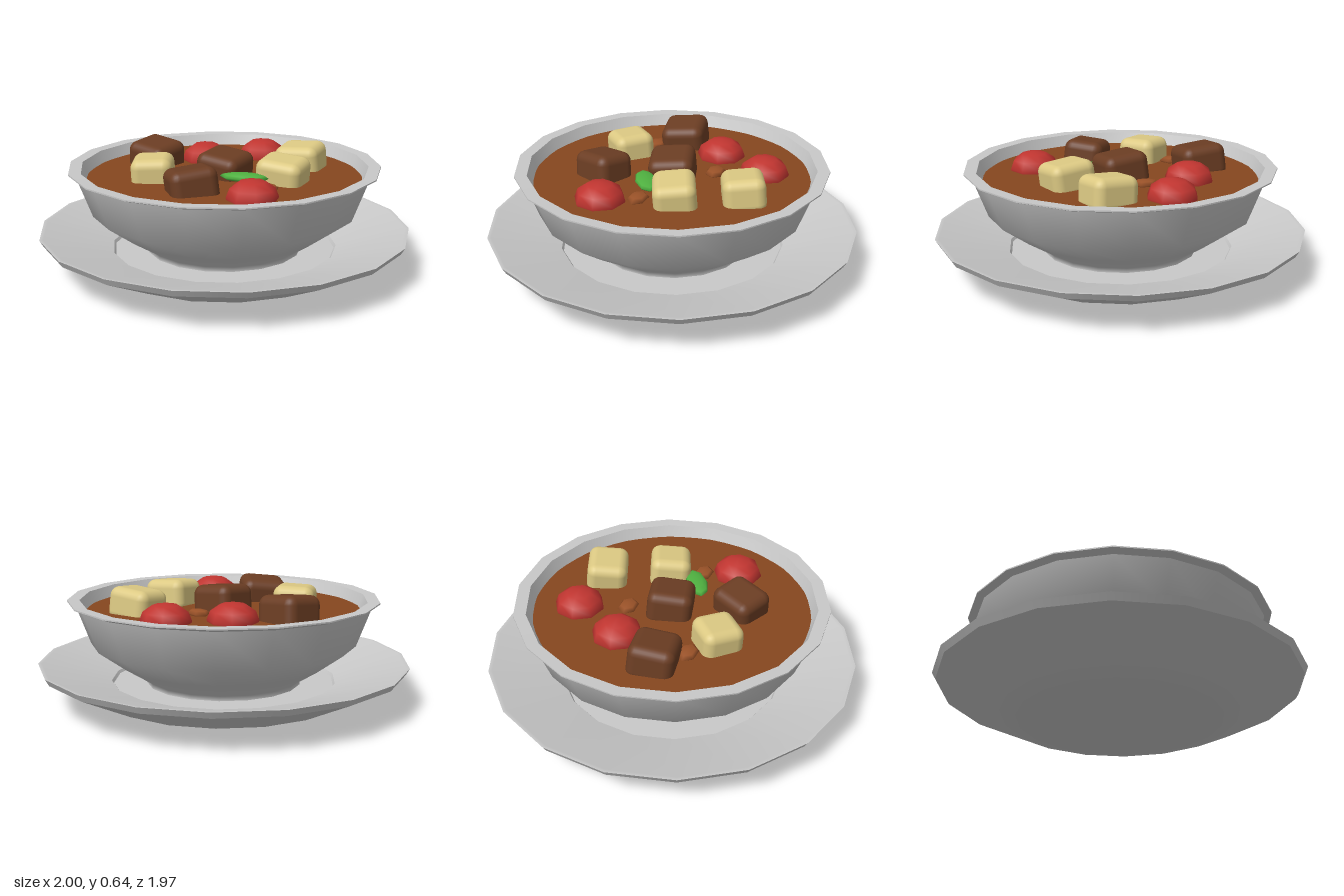
import * as THREE from 'three';
import { RoundedBoxGeometry } from 'three/addons/geometries/RoundedBoxGeometry.js';

const material = (name, color) => {
  const m = new THREE.MeshStandardMaterial({ color });
  m.name = name;
  return m;
};

export function createModel() {
  const model = new THREE.Group();
  model.name = 'bowlOfStew';

  const ceramic = material('ceramic grey', 0xc8c8c8);
  const broth = material('broth brown', 0x86471f);
  const beefBrown = material('beef brown', 0x6b3d23);
  const potatoCream = material('potato cream', 0xdcc983);
  const tomatoRed = material('tomato red', 0xc03530);
  const leafGreen = material('leaf green', 0x4fb040);
  const onionBrown = material('onion brown', 0x9a5228);

  const add = (parent, name, geometry, mat, position = [0, 0, 0], rotation = [0, 0, 0]) => {
    const mesh = new THREE.Mesh(geometry, mat);
    mesh.name = name;
    mesh.position.set(...position);
    mesh.rotation.set(rotation[0], rotation[1], rotation[2], 'YXZ');
    parent.add(mesh);
    return mesh;
  };

  // Each section is turned on its own, so edges between sections stay sharp
  const turned = (name, sections) => {
    const group = new THREE.Group();
    group.name = name;
    for (const [part, ...profile] of sections) {
      const points = profile.map(([r, y]) => new THREE.Vector2(r, y));
      add(group, part, new THREE.LatheGeometry(points, 18, Math.PI / 2), ceramic);
    }
    model.add(group);
  };

  turned('plate', [
    ['plateBase', [0, 0], [0.54, 0], [0.68, 0.04], [0.98, 0.185]],
    ['plateEdge', [0.98, 0.185], [1, 0.22]],
    ['plateTop', [1, 0.22], [0.98, 0.22], [0.61, 0.115]],
    ['plateStep', [0.61, 0.115], [0.6, 0.1]],
    ['plateWell', [0.6, 0.1], [0, 0.1]],
  ]);

  turned('bowl', [
    ['bowlOutside', [0.42, 0.1], [0.42, 0.125], [0.57, 0.22], [0.715, 0.325], [0.795, 0.54]],
    ['rimUnderside', [0.795, 0.54], [0.835, 0.555]],
    ['rimEdge', [0.835, 0.555], [0.835, 0.562]],
    ['rimTop', [0.835, 0.562], [0.77, 0.56]],
    ['bowlInside', [0.77, 0.56], [0.745, 0.5], [0.67, 0.33], [0.4, 0.16], [0, 0.15]],
  ]);

  // Broth surface
  add(model, 'broth', new THREE.CircleGeometry(0.738, 36), broth, [0, 0.5, 0], [-Math.PI / 2, 0, 0]);

  // Beef and potato chunks: x, y, z, width, depth, then tilt, turn, roll
  const chunks = (name, mat, height, list) => {
    for (const [x, y, z, w, d, ...rotation] of list) {
      add(model, name, new RoundedBoxGeometry(w, height, d, 3, 0.05), mat, [x, y, z], rotation);
    }
  };
  chunks('beefChunk', beefBrown, 0.19, [
    [-0.465, 0.535, 0.065, 0.25, 0.24, 0.1, 0.1, -0.1],
    [0, 0.535, -0.005, 0.25, 0.24, 0.08, 0.2, -0.1],
    [0.105, 0.53, 0.35, 0.22, 0.25, 0.1, -0.5, 0.1],
  ]);
  chunks('potatoChunk', potatoCream, 0.18, [
    [0.175, 0.54, -0.435, 0.25, 0.22, 0.08, 0.32, 0.08],
    [0.315, 0.54, -0.115, 0.25, 0.22, 0.08, 0.32, -0.08],
    [-0.22, 0.535, 0.315, 0.22, 0.22, 0.04, 0.72, 0.04],
  ]);

  // Tomatoes
  for (const [x, z] of [[-0.145, -0.47], [-0.325, -0.185], [0.425, 0.245]]) {
    const tomato = add(model, 'tomato', new THREE.SphereGeometry(0.133, 8, 6), tomatoRed, [x, 0.51, z], [0, 0.1, 0]);
    tomato.scale.y = 0.7;
  }

  // Onion pieces
  for (const [x, z, turn] of [[-0.075, -0.22, 0], [0.36, 0.065, -0.1], [-0.36, 0.205, -0.1]]) {
    const onion = add(model, 'onionPiece', new THREE.SphereGeometry(0.075, 6, 4), onionBrown, [x, 0.51, z], [0, turn, 0]);
    onion.scale.set(1, 0.3, 0.72);
  }

  // Herb leaf
  const leaf = add(model, 'herbLeaf', new THREE.SphereGeometry(0.13, 8, 6), leafGreen, [0.21, 0.54, 0.072], [0, 0.5, 0]);
  leaf.scale.set(1, 0.18, 0.45);

  return model;
}
